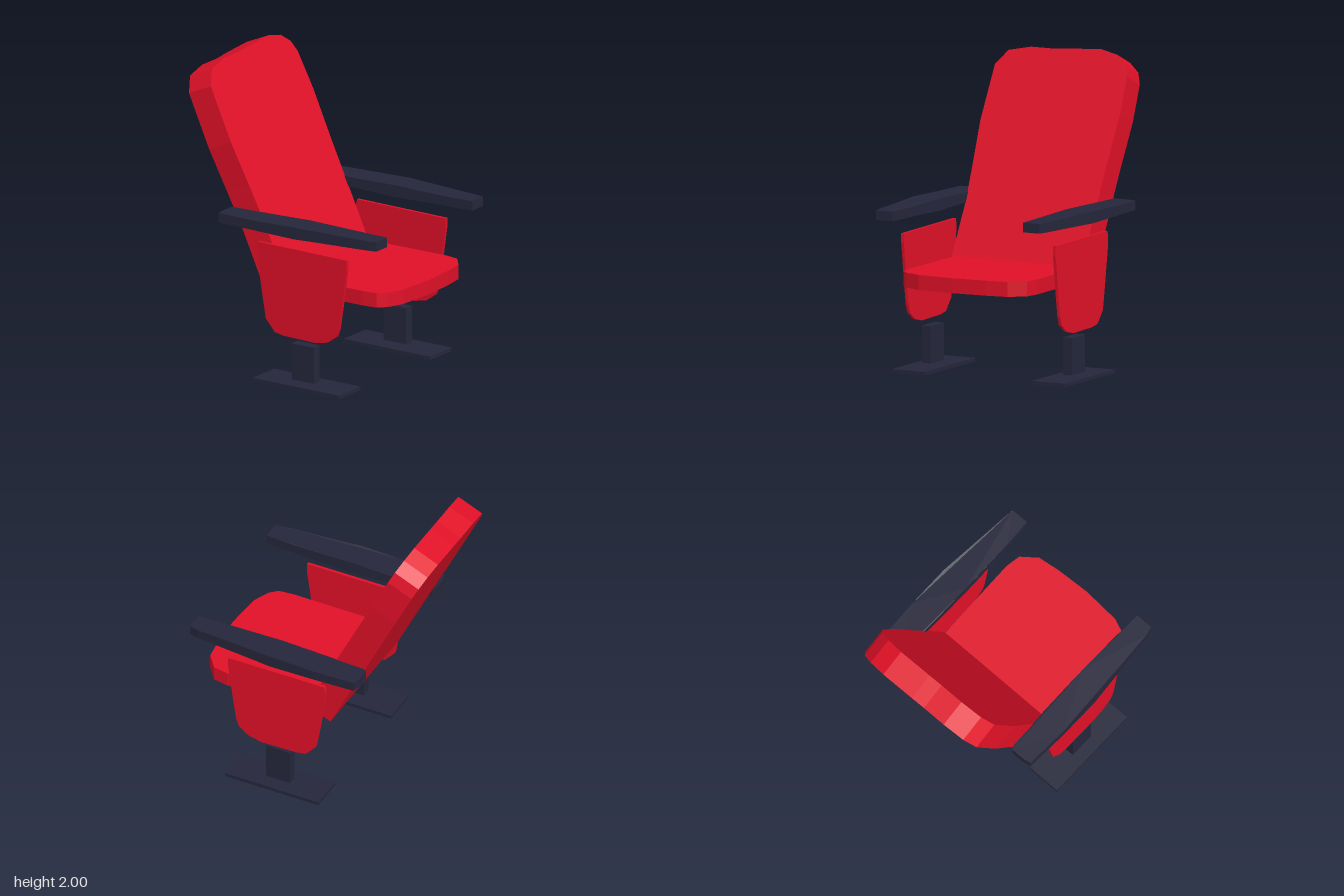
import * as THREE from 'three';

const red = new THREE.MeshStandardMaterial({ name: 'red upholstery', color: 0xe01027 });
const navy = new THREE.MeshStandardMaterial({ name: 'dark navy frame', color: 0x25263a });

// Prism from a 2D outline
function prism(points, depth) {
  const shape = new THREE.Shape(points.map(([a, b]) => new THREE.Vector2(a, b)));
  return new THREE.ExtrudeGeometry(shape, { depth, bevelEnabled: false });
}

// Slab from an (x, z) plan, hanging down from its top height
function slab(plan, top, thickness) {
  return prism(plan, thickness).rotateX(Math.PI / 2).translate(0, top, 0);
}

export function createModel() {
  const chair = new THREE.Group();
  chair.name = 'chair';
  const add = (name, geometry, material, parent = chair) => {
    const mesh = new THREE.Mesh(geometry, material);
    mesh.name = name;
    parent.add(mesh);
    return mesh;
  };

  // Reclined backrest: outline in (z, y) of its front face, leaned back
  const back = prism([
    [0.485, 0.63], [0.47, 1.03], [0.48, 1.25], [0.495, 1.52], [0.48, 1.86], [0.405, 1.95],
    [0.25, 1.98], [0.08, 1.98], [-0.02, 1.988], [-0.26, 2.0], [-0.38, 1.975], [-0.455, 1.92],
    [-0.485, 1.85], [-0.495, 1.62], [-0.48, 1.3], [-0.47, 0.9], [-0.46, 0.635],
    [-0.24, 0.65], [0.05, 0.655], [0.25, 0.65],
  ], 1);
  back.applyMatrix4(new THREE.Matrix4().makeBasis(
    new THREE.Vector3(0, 0, 1),
    new THREE.Vector3(-0.49, 1, 0),
    new THREE.Vector3(-0.17, -0.075, 0),
  ).setPosition(0.34, 0, 0));
  add('backrest', back, red);

  // Seat cushion with rounded front
  add('seat', slab([
    [-0.02, -0.455], [0.3, -0.462], [0.6, -0.468], [0.7, -0.45], [0.78, -0.35], [0.8, -0.2],
    [0.812, 0.03], [0.795, 0.29], [0.75, 0.4], [0.7, 0.45], [0.6, 0.462], [-0.02, 0.462],
  ], 0.695, 0.097), red);

  const panelOutline = [
    [-0.15, 0.915], [0.54, 0.91], [0.54, 0.85], [0.505, 0.6], [0.48, 0.44], [0.46, 0.385],
    [0.39, 0.335], [0.3, 0.315], [0.05, 0.32], [-0.02, 0.332], [-0.09, 0.41],
    [-0.12, 0.58], [-0.155, 0.8], [-0.16, 0.88],
  ];
  const armPlan = [
    [-0.41, 0.49], [-0.39, 0.477], [-0.1, 0.465], [0.2, 0.463], [0.3, 0.463], [0.6, 0.466],
    [0.8, 0.475], [0.8, 0.595], [0.74, 0.608], [0.3, 0.642], [0.2, 0.65], [-0.1, 0.65],
    [-0.4, 0.637], [-0.41, 0.58],
  ];

  for (const side of [1, -1]) {
    const group = new THREE.Group();
    group.name = side > 0 ? 'leftSide' : 'rightSide';
    chair.add(group);

    // Armrest, swelling slightly in the middle and rising to the front
    const arm = slab(armPlan.map(([x, z]) => [x, z * side]), 1.083, 0.063);
    const p = arm.attributes.position;
    for (let i = 0; i < p.count; i++) {
      const x = p.getX(i), y = p.getY(i);
      const swell = 0.008 * Math.max(0, 1 - Math.abs(x - 0.2) / 0.35);
      p.setY(i, y + 0.008 * (x + 0.41) / 1.21 + (y > 1.05 ? swell : -swell));
    }
    arm.computeVertexNormals();
    add('armrest', arm, navy, group);

    // Side panel, post and foot plate
    add('sidePanel', prism(panelOutline, 0.02).translate(0, 0, side > 0 ? 0.535 : -0.57), red, group);
    add('post', new THREE.BoxGeometry(0.175, 0.242, 0.064), navy, group)
      .position.set(0.192, 0.158, 0.515 * side);
    add('footPlate', new THREE.BoxGeometry(0.67, 0.024, 0.24), navy, group)
      .position.set(0.195, 0.012, 0.509 * side);
  }
  return chair;
}
